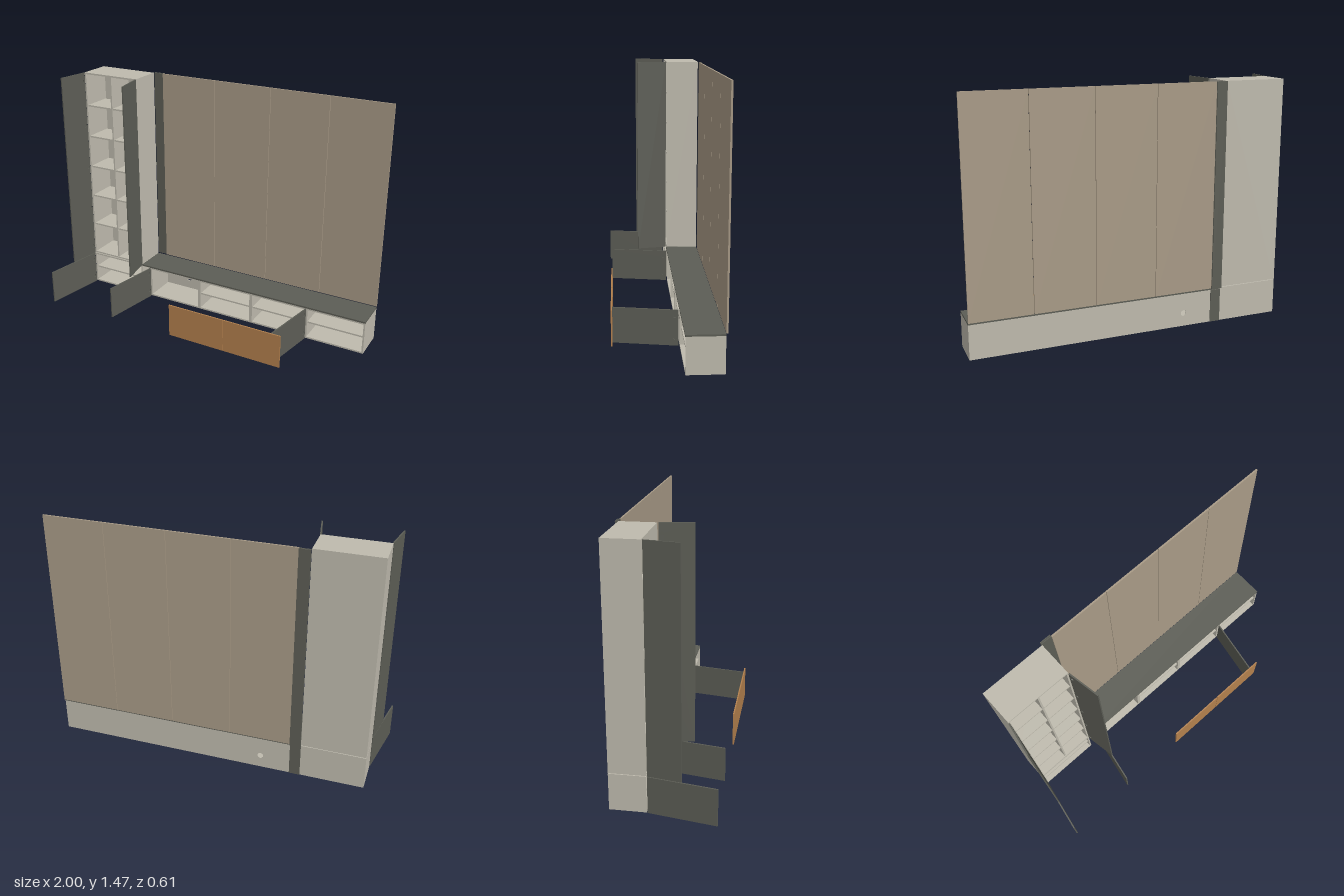
import * as THREE from 'three';

const carcassMat = new THREE.MeshStandardMaterial({ color: 0xbebaad, name: 'warm grey carcass' });
const darkMat = new THREE.MeshStandardMaterial({ color: 0x5c5d55, name: 'dark olive grey' });
const taupeMat = new THREE.MeshStandardMaterial({ color: 0xa89a86, name: 'taupe' });
const woodMat = new THREE.MeshStandardMaterial({ color: 0xb3804d, name: 'orange wood' });

const T = 0.01;              // board thickness
const BACK = -0.285, FRONT = -0.082;

// Board given by its minimum and maximum corners
function board(parent, name, mat, x0, x1, y0, y1, z0, z1) {
  const mesh = new THREE.Mesh(new THREE.BoxGeometry(x1 - x0, y1 - y0, z1 - z0), mat);
  mesh.position.set((x0 + x1) / 2, (y0 + y1) / 2, (z0 + z1) / 2);
  mesh.name = name;
  parent.add(mesh);
  return mesh;
}

// Upright rectangle with round holes, extruded along z
function drilledBoard(parent, name, mat, x0, x1, y0, y1, z0, depth, holes) {
  const shape = new THREE.Shape([
    new THREE.Vector2(x0, y0), new THREE.Vector2(x1, y0),
    new THREE.Vector2(x1, y1), new THREE.Vector2(x0, y1),
  ]);
  for (const [x, y, r] of holes) {
    shape.holes.push(new THREE.Path().absarc(x, y, r, 0, Math.PI * 2, true));
  }
  const geo = new THREE.ExtrudeGeometry(shape, { depth, bevelEnabled: false, curveSegments: 10 });
  const mesh = new THREE.Mesh(geo, mat);
  mesh.position.z = z0;
  mesh.name = name;
  parent.add(mesh);
}

// Open-fronted cabinet box with optional shelves, middle divider and cable hole
function cabinet(parent, name, x0, x1, y0, y1, { shelves = [], divider = false, holes = [] } = {}) {
  const g = new THREE.Group();
  g.name = name;
  board(g, 'side', carcassMat, x0, x0 + T, y0, y1, BACK, FRONT);
  board(g, 'side', carcassMat, x1 - T, x1, y0, y1, BACK, FRONT);
  const a = x0 + T, b = x1 - T;
  board(g, 'bottom', carcassMat, a, b, y0, y0 + T, BACK, FRONT);
  board(g, 'top', carcassMat, a, b, y1 - T, y1, BACK, FRONT);
  drilledBoard(g, 'back', carcassMat, a, b, y0 + T, y1 - T, BACK, 0.005, holes);
  board(g, 'backRail', carcassMat, a, b, y1 - 0.055, y1 - T, BACK + 0.005, BACK + 0.013);
  const mid = (x0 + x1) / 2;
  if (divider) board(g, 'divider', carcassMat, mid - T / 2, mid + T / 2, y0 + T, y1 - T, BACK + 0.013, FRONT - 0.004);
  for (const y of shelves) {
    const spans = divider ? [[a, mid - T / 2], [mid + T / 2, b]] : [[a, b]];
    for (const [s, e] of spans) board(g, 'shelf', carcassMat, s, e, y - T / 2, y + T / 2, BACK + 0.013, FRONT - 0.008);
  }
  parent.add(g);
}

// Open door swung 100 degrees; side = 1 hinges on the -x edge, -1 on the +x edge
function door(parent, name, hingeX, width, y0, y1, side, hingeHeights) {
  const g = new THREE.Group();
  g.name = name;
  const x0 = Math.min(0, side * width), x1 = Math.max(0, side * width);
  // inner layer with hinge cups, outer layer closing them
  const cups = hingeHeights.map((y) => [side * 0.018, y, 0.011]);
  drilledBoard(g, 'doorInner', darkMat, x0, x1, y0, y1, 0, 0.005, cups);
  board(g, 'doorOuter', darkMat, x0, x1, y0, y1, 0.005, 0.008);
  g.position.set(hingeX, 0, -0.075);
  g.rotation.y = -side * THREE.MathUtils.degToRad(100);
  parent.add(g);
}

export function createModel() {
  const model = new THREE.Group();
  model.name = 'wallUnit';
  const TOP = 1.465;

  // Tall bookcase on its own base
  cabinet(model, 'tallBase', -0.93, -0.545, 0, 0.213, { shelves: [0.108] });
  cabinet(model, 'tallCabinet', -0.93, -0.545, 0.217, TOP, {
    divider: true, shelves: [0.43, 0.635, 0.84, 1.045, 1.25],
  });

  // Long low cabinet: four bays under a dark top
  const bays = [-0.48, -0.11, 0.26, 0.63, 1.0];
  for (let i = 0; i < 4; i++) {
    cabinet(model, 'lowCabinet', bays[i], bays[i + 1], 0, 0.205,
      i === 0 ? { holes: [[-0.3, 0.082, 0.018]] } : { shelves: [0.108] });
  }
  board(model, 'countertop', darkMat, -0.545, 1, 0.205, 0.215, BACK, -0.08);

  // Wall panels with fine gaps between them
  for (let i = 0; i < 4; i++) {
    const l = i === 0 ? 0 : 0.0015, r = i === 3 ? 0 : 0.0015;
    board(model, 'wallPanel', taupeMat, bays[i] + l, bays[i + 1] - r, 0.218, TOP, -0.295, -0.285);
  }

  // Dark filler strips between bookcase and panels
  board(model, 'fillerFront', darkMat, -0.545, -0.48, 0.218, TOP, -0.295, -0.29);
  board(model, 'fillerBack', darkMat, -0.545, -0.48, 0.215, TOP, -0.304, -0.299);
  board(model, 'fillerLower', darkMat, -0.545, -0.48, 0, 0.203, -0.288, -0.283);

  // Doors
  const lowCups = [0.045, 0.17];
  const tallCups = [0.27, 0.555, 0.84, 1.125, 1.41];
  door(model, 'tallDoorA', -0.925, 0.19, 0.217, TOP, 1, tallCups);
  door(model, 'tallDoorB', -0.548, 0.19, 0.217, TOP, -1, tallCups);
  door(model, 'tallBaseDoor', -0.925, 0.384, 0, 0.213, 1, lowCups);
  door(model, 'lowDoorA', -0.475, 0.368, 0, 0.205, 1, lowCups);
  door(model, 'lowDoorB', 0.633, 0.368, 0, 0.205, 1, lowCups);

  // Pulled-out wooden fronts
  board(model, 'woodFront', woodMat, -0.11, 0.2585, 0, 0.208, 0.283, 0.291);
  board(model, 'woodFront', woodMat, 0.2615, 0.627, 0, 0.208, 0.283, 0.291);

  return model;
}
